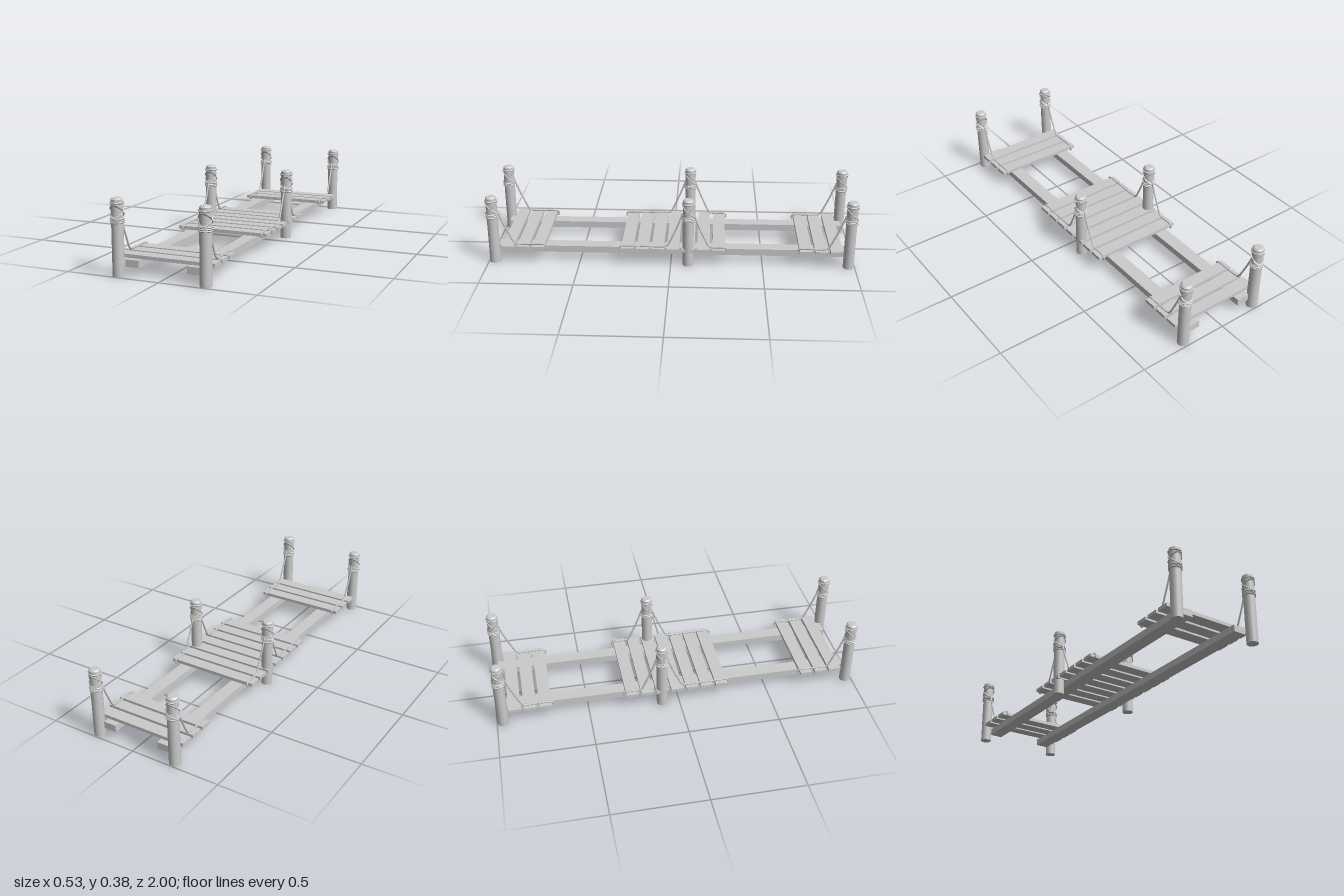
import * as THREE from 'three';

const POST_X = 0.232;
const mat = new THREE.MeshStandardMaterial({ color: 0xcccccc });
const flatMat = new THREE.MeshStandardMaterial({ color: 0xcccccc, flatShading: true });

function add(parent, name, geometry, x = 0, y = 0, z = 0, material = mat) {
  const mesh = new THREE.Mesh(geometry, material);
  mesh.name = name;
  mesh.position.set(x, y, z);
  parent.add(mesh);
  return mesh;
}

// Eight-sided rope loop around a post; slope tilts it along z
function ropeRing(slope) {
  const g = new THREE.TorusGeometry(0.0322, 0.0045, 6, 8);
  g.rotateZ(Math.PI / 8);
  g.rotateX(Math.PI / 2);
  const p = g.attributes.position;
  for (let i = 0; i < p.count; i++) p.setY(i, p.getY(i) + slope * p.getZ(i));
  g.computeVertexNormals();
  return g;
}

// Round post with bevelled top and rope lashings
function makePost(x, z) {
  const post = new THREE.Group();
  post.name = 'post';
  post.position.set(x, 0, z);
  add(post, 'postShaft', new THREE.CylinderGeometry(0.03, 0.03, 0.376, 16), 0, 0.188, 0);
  add(post, 'postBevel', new THREE.CylinderGeometry(0.022, 0.03, 0.008, 16), 0, 0.38, 0, flatMat);
  for (const y of [0.265, 0.274, 0.283, 0.36]) add(post, 'ropeBand', ropeRing(0), 0, y, 0);
  for (const slope of [-0.96, 0.96]) add(post, 'crossedRope', ropeRing(slope), 0, 0.319, 0);
  return post;
}

// Rope sagging from a post to the deck, running along it and hooking under its edge
function makeRope(x, z, edge) {
  const d = Math.sign(edge - z);
  const sag = [[0.028, 0.305], [0.048, 0.25], [0.08, 0.175], [0.115, 0.11]];
  const points = sag.map(([o, y]) => new THREE.Vector3(x, y, z + d * o));
  const run = [[-0.006, 0.105], [0.006, 0.1], [0.008, 0.083], [-0.012, 0.079]];
  points.push(new THREE.Vector3(x, 0.105, z + d * 0.135));
  for (const [o, y] of run) points.push(new THREE.Vector3(x, y, edge + d * o));
  const path = new THREE.CatmullRomCurve3(points, false, 'centripetal');
  return new THREE.TubeGeometry(path, 48, 0.005, 6, false);
}

export function createModel() {
  const model = new THREE.Group();
  model.name = 'boardwalk';

  // Decks: first plank centre and number of planks
  const plank = new THREE.BoxGeometry(0.516, 0.018, 0.067);
  for (const [start, count] of [[-0.898, 3], [-0.262, 7], [0.724, 3]]) {
    const deck = new THREE.Group();
    deck.name = 'deck';
    for (let i = 0; i < count; i++) add(deck, 'plank', plank, 0, 0.091, start + i * 0.083);
    model.add(deck);
  }

  for (const side of [-1, 1]) {
    // Support beams, in two lengths meeting at the middle posts
    for (const [z0, z1] of [[-0.965, -0.09], [-0.09, 0.955]]) {
      const beam = new THREE.BoxGeometry(0.072, 0.037, z1 - z0);
      add(model, 'supportBeam', beam, side * 0.165, 0.0635, (z0 + z1) / 2);
    }
    // Posts and the deck edges their ropes run to
    for (const [z, edges] of [[-0.966, [-0.698]], [-0.095, [-0.296, 0.27]], [0.966, [0.69]]]) {
      model.add(makePost(side * POST_X, z));
      for (const edge of edges) add(model, 'stayRope', makeRope(side * POST_X, z, edge));
    }
  }
  return model;
}
